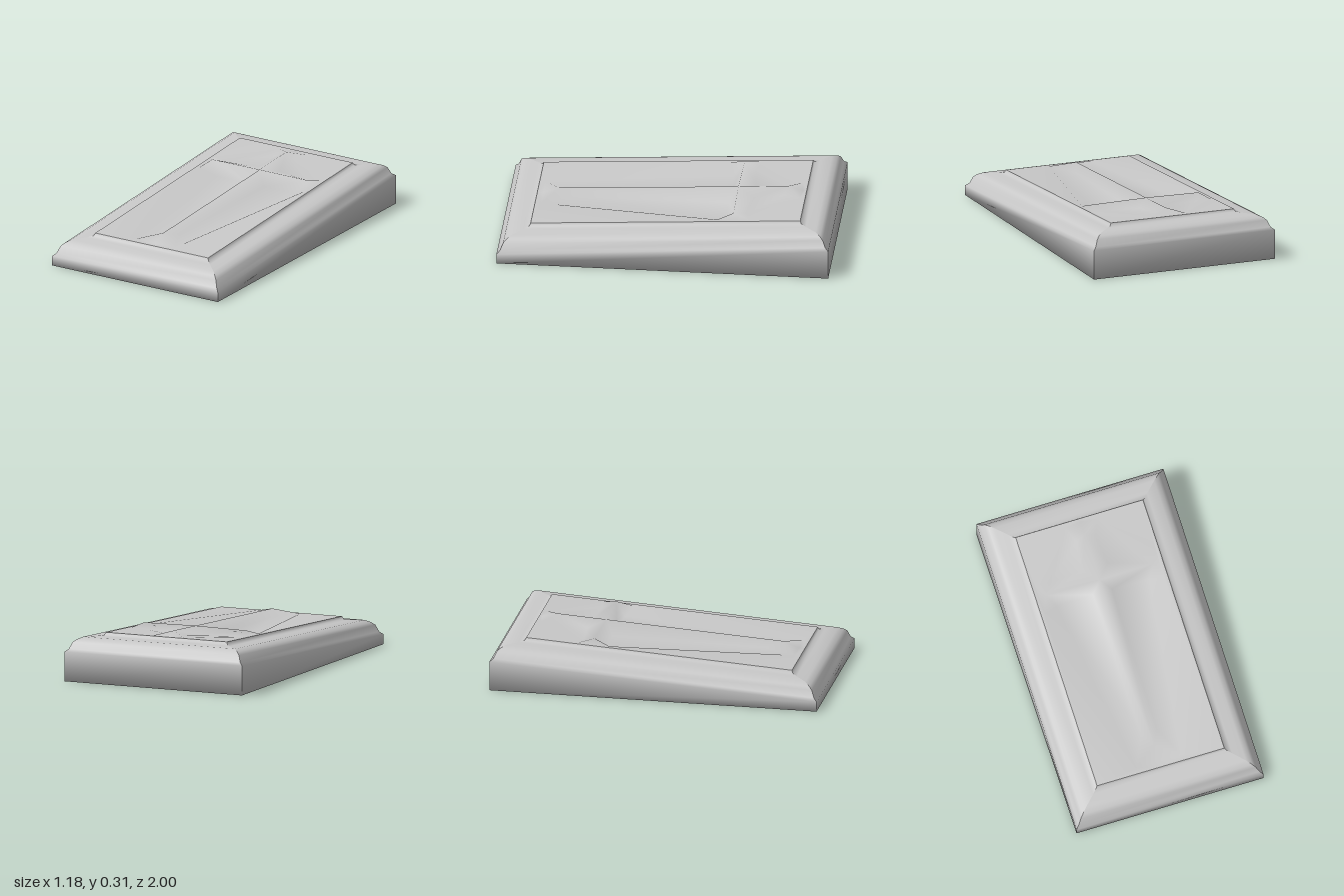
import * as THREE from 'three';

const stone = new THREE.MeshStandardMaterial({ color: 0xc8c8c8 });
stone.name = 'grey stone';

const HALF_X = 0.588, HALF_Z = 1, SLOPE = 0.06;

function makeMesh(name, positions, indices) {
  const g = new THREE.BufferGeometry();
  g.setAttribute('position', new THREE.Float32BufferAttribute(positions, 3));
  g.setIndex(indices);
  g.computeVertexNormals();
  const mesh = new THREE.Mesh(g, stone);
  mesh.name = name;
  return mesh;
}

// Moulded border: [inset, height, follows the slope], from underside centre up to the panel
const profile = [
  [null, 0, 0], [0, 0, 0], [0, 0.06, 1], [0.02, 0.077, 1], [0.037, 0.118, 1],
  [0.055, 0.134, 1], [0.085, 0.149, 1], [0.15, 0.153, 1], [0.18, 0.158, 1], [0.188, 0.174, 1],
];

function borderPoint([inset, h, sloped], [sx, sz]) {
  if (inset === null) return [0, 0, 0];
  const z = sz * (HALF_Z - inset);
  return [sx * (HALF_X - inset), h + sloped * SLOPE * (1 - z), z];
}

// One side of the slab, mitred at its two corners
function side(name, a, b) {
  const pos = [], idx = [];
  profile.forEach((p, i) => {
    pos.push(...borderPoint(p, a), ...borderPoint(p, b));
    if (i) {
      const k = 2 * i - 2;
      if (i > 1) idx.push(k, k + 1, k + 3);
      idx.push(k, k + 3, k + 2);
    }
  });
  return makeMesh(name, pos, idx);
}

// Right half of the carved panel: x, z, height above the sloping panel plane
const points = {
  centre: [0, -0.4, 0.03],
  foot: [0, 0.68, 0.031], foot0: [0, 0.775, 0], footB: [0.14, 0.775, 0],
  head: [0, -0.7, 0.03], head0: [0, -0.79, 0], headB: [0.1, -0.78, 0],
  arm: [0.34, -0.405, 0.026], armU: [0.38, -0.5, 0], armL: [0.375, -0.31, 0],
  t1: [0.06, -0.35, -0.048], t2: [0.29, -0.345, -0.045], t3: [0.05, 0.58, -0.006],
  u1: [0.08, -0.5, -0.008], u2: [0.29, -0.48, -0.005], u3: [0.06, -0.68, 0.002],
  r0: [0, 0.812, 0], r1: [0.4, 0.812, 0], r2: [0.4, -0.812, 0], r3: [0, -0.812, 0],
};

const faces = [
  // raised tips of the cross
  'foot foot0 footB', 'arm armU armL', 'head headB head0',
  // long hollows beside the stem
  'centre t1 foot', 't1 t3 foot', 'foot t3 footB', 't1 t2 t3', 't2 footB t3', 't2 armL footB',
  'centre arm t1', 'arm t2 t1', 'arm armL t2',
  // shallow hollows above the arms
  'centre arm u1', 'arm u2 u1', 'arm armU u2', 'centre u1 head', 'u1 u3 head',
  'head u3 headB', 'u1 u2 u3', 'u2 headB u3', 'u2 armU headB',
  // flat surround
  'foot0 footB r0', 'footB r1 r0', 'footB armL r1', 'armL r2 r1', 'armU r2 armL',
  'armU headB r2', 'headB r3 r2', 'headB head0 r3',
].map((f) => f.split(' '));

function carvedPanel() {
  const pos = [], idx = [], lookup = new Map();
  const vertex = (name, s) => {
    const [x, z, h] = points[name];
    const key = x === 0 ? name : name + s;
    if (!lookup.has(key)) {
      lookup.set(key, pos.length / 3);
      pos.push(s * x, 0.234 - SLOPE * z + h, z);
    }
    return lookup.get(key);
  };
  for (const s of [1, -1]) {
    for (const f of faces) {
      const [a, b, c] = f.map((n) => vertex(n, s));
      const X = (i) => pos[3 * i], Z = (i) => pos[3 * i + 2];
      // keep every face turned upward
      const up = (Z(b) - Z(a)) * (X(c) - X(a)) - (X(b) - X(a)) * (Z(c) - Z(a));
      idx.push(...(up > 0 ? [a, b, c] : [a, c, b]));
    }
  }
  return makeMesh('carvedCrossPanel', pos, idx);
}

export function createModel() {
  const group = new THREE.Group();
  group.name = 'slopedStoneSlab';
  const corners = [[1, 1], [1, -1], [-1, -1], [-1, 1]];
  ['leftBorder', 'backBorder', 'rightBorder', 'frontBorder'].forEach((name, i) =>
    group.add(side(name, corners[i], corners[(i + 1) % 4])));
  group.add(carvedPanel());
  return group;
}
